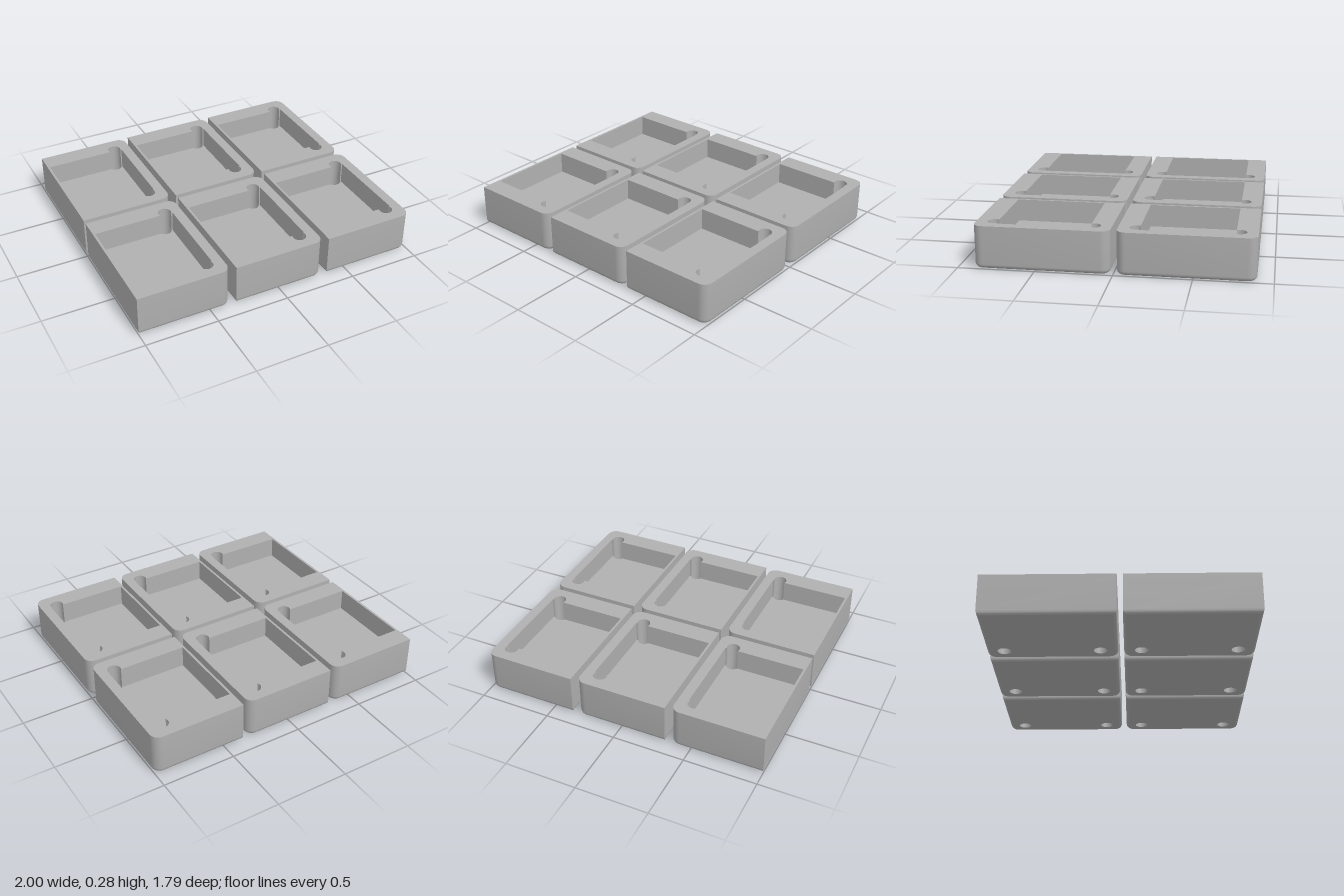
import * as THREE from 'three';
import { toCreasedNormals } from 'three/addons/utils/BufferGeometryUtils.js';

const HX = 0.32, HZ = 0.438, TOP = 0.285, FLOOR = 0.135; // block half sizes and heights
const CORNER = 0.06, FILLET = 0.032;                     // rounded edges
const PX0 = -0.304, PX1 = 0.252, PZ = 0.3;               // pocket extents
const HOLE = { x: 0.204, z: 0.321, r: 0.045 };           // through holes
const V = (x, y) => new THREE.Vector2(x, y);

function arc(cx, cy, r, from, to, n) {
  return Array.from({ length: n + 1 }, (_, i) => {
    const a = from + (to - from) * i / n;
    return V(cx + r * Math.cos(a), cy + r * Math.sin(a));
  });
}

// Plan outline: square corners on the -x side, round ones on the +x side
function outline(d) {
  const x0 = -HX + d * 0.5, x1 = HX - d, z = HZ - d, r = CORNER - d;
  return [
    V(x0, -z),
    ...arc(x1 - r, -z + r, r, -Math.PI / 2, 0, 8),
    ...arc(x1 - r, z - r, r, 0, Math.PI / 2, 8),
    V(x0, z),
  ];
}

// Pocket outline; the hole arcs bulge outward (opening) or bite inward (floor)
function pocket(bulge) {
  const t = Math.asin((HOLE.z - PZ) / HOLE.r), P = Math.PI;
  const { x, z, r } = HOLE;
  return [
    V(PX0, -PZ),
    ...arc(x, -z, r, P - t, bulge ? 2 * P + t : t, 18),
    V(PX1, -PZ), V(PX1, PZ),
    ...arc(x, z, r, -t, bulge ? P + t : -P + t, 18),
    V(PX0, PZ),
  ];
}

function createBlockGeometry() {
  const pos = [];
  const put = (p, y) => pos.push(p.x, y, -p.y);

  // Band joining two loops of equal length
  const wall = (a, ya, b, yb) => a.forEach((p, i) => {
    const j = (i + 1) % a.length;
    put(p, ya); put(a[j], ya); put(b[j], yb);
    put(p, ya); put(b[j], yb); put(b[i], yb);
  });
  // Flat face with optional holes
  const cap = (loop, holes, y, down) => {
    const pts = [loop, ...holes].flat();
    for (const [a, b, c] of THREE.ShapeUtils.triangulateShape(loop, holes))
      for (const k of down ? [a, c, b] : [a, b, c]) put(pts[k], y);
  };

  // Outer sides with the rounded lower edge
  const steps = 6;
  let loop, y;
  for (let i = 0; i <= steps; i++) {
    const a = i / steps * Math.PI / 2;
    const next = outline(FILLET * (1 - Math.sin(a)));
    const ny = FILLET * (1 - Math.cos(a));
    if (loop) wall(loop, y, next, ny);
    loop = next;
    y = ny;
  }
  wall(loop, y, loop, TOP);

  // Rim, pocket walls and pocket floor
  const opening = pocket(true).reverse();
  cap(loop, [opening], TOP, false);
  wall(opening, FLOOR, opening, TOP);
  cap(pocket(false), [], FLOOR, false);

  // Through holes and underside
  const holes = [-1, 1].map(s =>
    arc(HOLE.x, s * HOLE.z, HOLE.r, 2 * Math.PI, 0, 28).slice(0, -1));
  holes.forEach(h => wall(h, 0, h, FLOOR));
  cap(outline(FILLET), holes, 0, true);

  const g = new THREE.BufferGeometry();
  g.setAttribute('position', new THREE.Float32BufferAttribute(pos, 3));
  return toCreasedNormals(g, 0.6);
}

export function createModel() {
  const group = new THREE.Group();
  group.name = 'trayBlocks';
  const grey = new THREE.MeshStandardMaterial({ color: 0xb0b0b0 });
  grey.name = 'plain grey';
  const geometry = createBlockGeometry();

  // Three columns by two rows of identical blocks
  for (const [row, z] of [['back', -0.457], ['front', 0.457]])
    for (const [column, x] of [['Right', -0.68], ['Middle', 0], ['Left', 0.68]]) {
      const block = new THREE.Mesh(geometry, grey);
      block.name = `${row}${column}Block`;
      block.position.set(x, 0, z);
      group.add(block);
    }
  return group;
}
